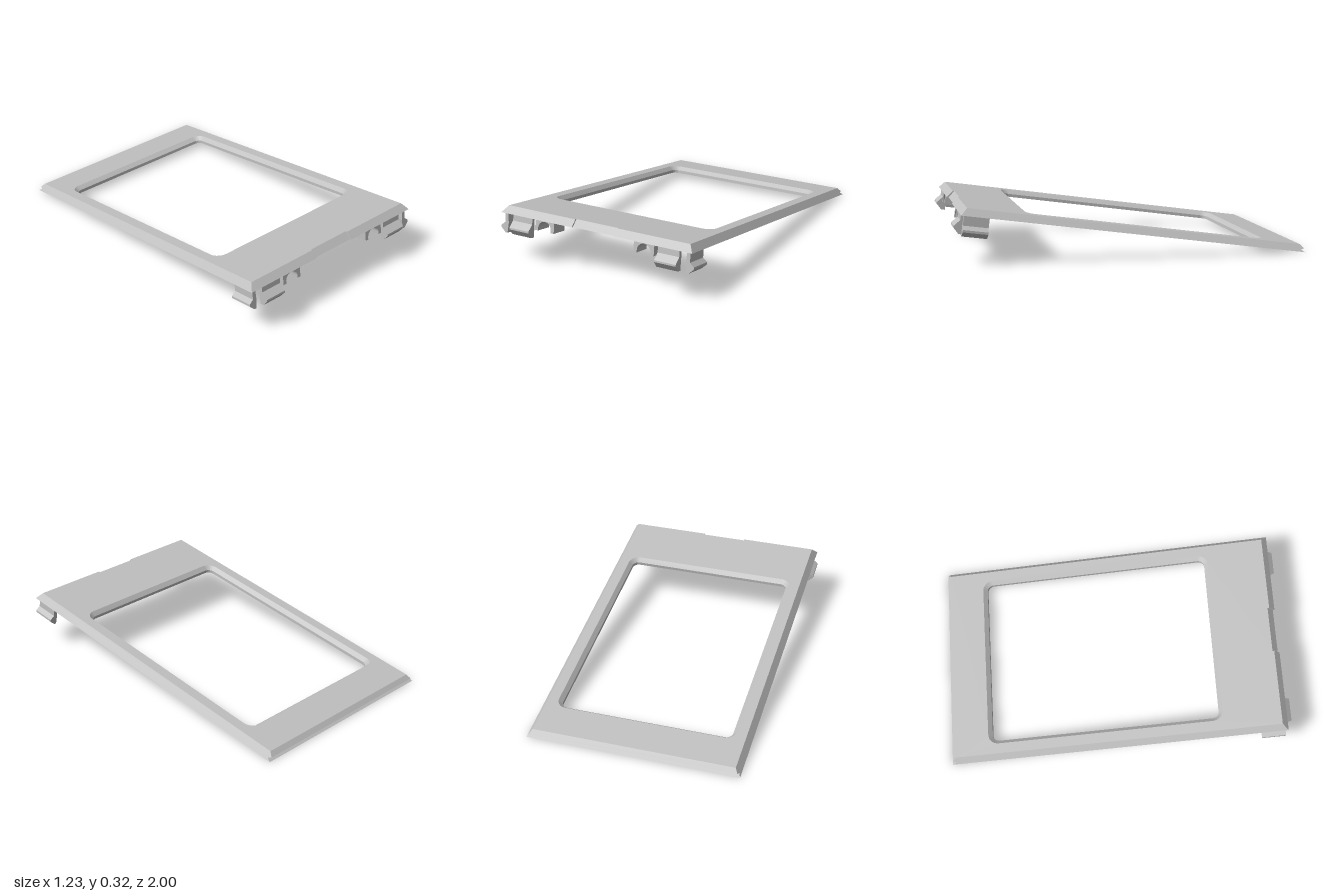
import * as THREE from 'three';
import { toCreasedNormals } from 'three/addons/utils/BufferGeometryUtils.js';

const T = 0.04; // panel thickness

// Outer outline at height y: half width, back and front z, with a shallow recess in the front edge
const outline = (y, w, b, f) => [
  [-w, b], [w, b], [w, f], [0.135, f], [0.135, f - 0.01], [-0.135, f - 0.01], [-0.135, f], [-w, f],
].map(([x, z]) => new THREE.Vector3(x, y, z));

// Rounded rectangle for the window at height y, same direction as the outline
function windowRing(y, w, b, f, r) {
  const pts = [];
  const corners = [[-w + r, b + r, Math.PI], [w - r, b + r, 1.5 * Math.PI], [w - r, f - r, 0], [-w + r, f - r, 0.5 * Math.PI]];
  for (const [cx, cz, start] of corners) {
    for (let i = 0; i <= 8; i++) {
      const a = start + (i / 8) * Math.PI / 2;
      pts.push(new THREE.Vector3(cx + r * Math.cos(a), y, cz + r * Math.sin(a)));
    }
  }
  return pts;
}

// Walls joining stacked rings, given from top to bottom
function walls(rings, inward) {
  const p = [];
  const add = (...vs) => vs.forEach((v) => p.push(v.x, v.y, v.z));
  for (let i = 0; i < rings.length - 1; i++) {
    const n = rings[i].length;
    for (let k = 0; k < n; k++) {
      const m = (k + 1) % n;
      const a = rings[i][k], b = rings[i][m], c = rings[i + 1][m], d = rings[i + 1][k];
      if (inward) { add(a, c, b); add(a, d, c); } else { add(a, b, c); add(a, c, d); }
    }
  }
  const g = new THREE.BufferGeometry();
  g.setAttribute('position', new THREE.Float32BufferAttribute(p, 3));
  g.computeVertexNormals();
  return toCreasedNormals(g, 0.5);
}

// Flat face with the window cut out
function face(outer, hole, y, down) {
  const flat = (ring) => ring.map((v) => new THREE.Vector2(v.x, -v.z));
  const shape = new THREE.Shape(flat(outer));
  shape.holes.push(new THREE.Path(flat(hole)));
  const g = new THREE.ShapeGeometry(shape).rotateX(-Math.PI / 2).translate(0, y, 0);
  if (down) {
    g.index.array.reverse();
    g.computeVertexNormals();
  }
  return g;
}

// Extruded cross-section, centred along its depth
function extrude(shape, depth) {
  return new THREE.ExtrudeGeometry(shape, { depth, bevelEnabled: false, curveSegments: 16 }).translate(0, 0, -depth / 2);
}
const polygon = (pts) => new THREE.Shape(pts.map(([x, y]) => new THREE.Vector2(x, y)));

export function createModel() {
  const model = new THREE.Group();
  const panel = new THREE.Group();
  panel.name = 'tiltedCover';
  panel.position.y = 0.1418;
  panel.rotation.x = -0.1422;
  model.add(panel);

  const grey = new THREE.MeshStandardMaterial({ color: 0xc0c0c0 });
  grey.name = 'lightGrey';
  const add = (name, geometry) => {
    const mesh = new THREE.Mesh(geometry, grey);
    mesh.name = name;
    panel.add(mesh);
    return mesh;
  };

  // Panel with bevelled rim, grooved back edge and bevelled window
  const rim = [
    outline(T, 0.58, -0.975, 0.945),
    outline(0.02, 0.595, -1.0, 0.96),
    outline(0.012, 0.601, -0.98, 0.966),
    outline(0, 0.61, -1.005, 0.975),
  ];
  const opening = [
    windowRing(T, 0.52, -0.777, 0.61, 0.06),
    windowRing(0.018, 0.498, -0.754, 0.586, 0.038),
    windowRing(0, 0.498, -0.754, 0.586, 0.038),
  ];
  add('topFace', face(rim[0], opening[0], T, false));
  add('bottomFace', face(rim[3], opening[2], 0, true));
  add('outerRim', walls(rim, false));
  add('windowRim', walls(opening, true));

  for (const s of [1, -1]) {
    const side = s > 0 ? 'left' : 'right';

    // Front snap hook
    const hook = polygon([[0.945, 0.005], [0.967, 0.005], [0.967, -0.035], [0.999, -0.07], [0.999, -0.08], [0.968, -0.112], [0.945, -0.112]]);
    add(side + 'FrontHook', extrude(hook, 0.13).rotateY(-Math.PI / 2)).position.x = s * 0.467;

    // Side snap hook
    const sideHook = polygon([[0.572, 0.005], [0.592, 0.005], [0.592, -0.055], [0.617, -0.075], [0.617, -0.088], [0.587, -0.115], [0.574, -0.115], [0.568, -0.06]]
      .map(([x, y]) => [s * x, y]));
    add(side + 'SideHook', extrude(sideHook, 0.14)).position.z = 0.888;

    // Arched bracket under the front edge
    const arch = new THREE.Shape();
    arch.moveTo(-0.0625, 0.003);
    arch.lineTo(-0.0625, -0.06);
    arch.lineTo(-0.042, -0.06);
    arch.lineTo(-0.042, -0.046);
    arch.absarc(0, -0.046, 0.042, Math.PI, 0, true);
    arch.lineTo(0.042, -0.06);
    arch.lineTo(0.0625, -0.06);
    arch.lineTo(0.0625, 0.003);
    add(side + 'ArchBracket', extrude(arch, 0.1)).position.set(s * 0.318, 0, 0.918);
  }
  return model;
}
